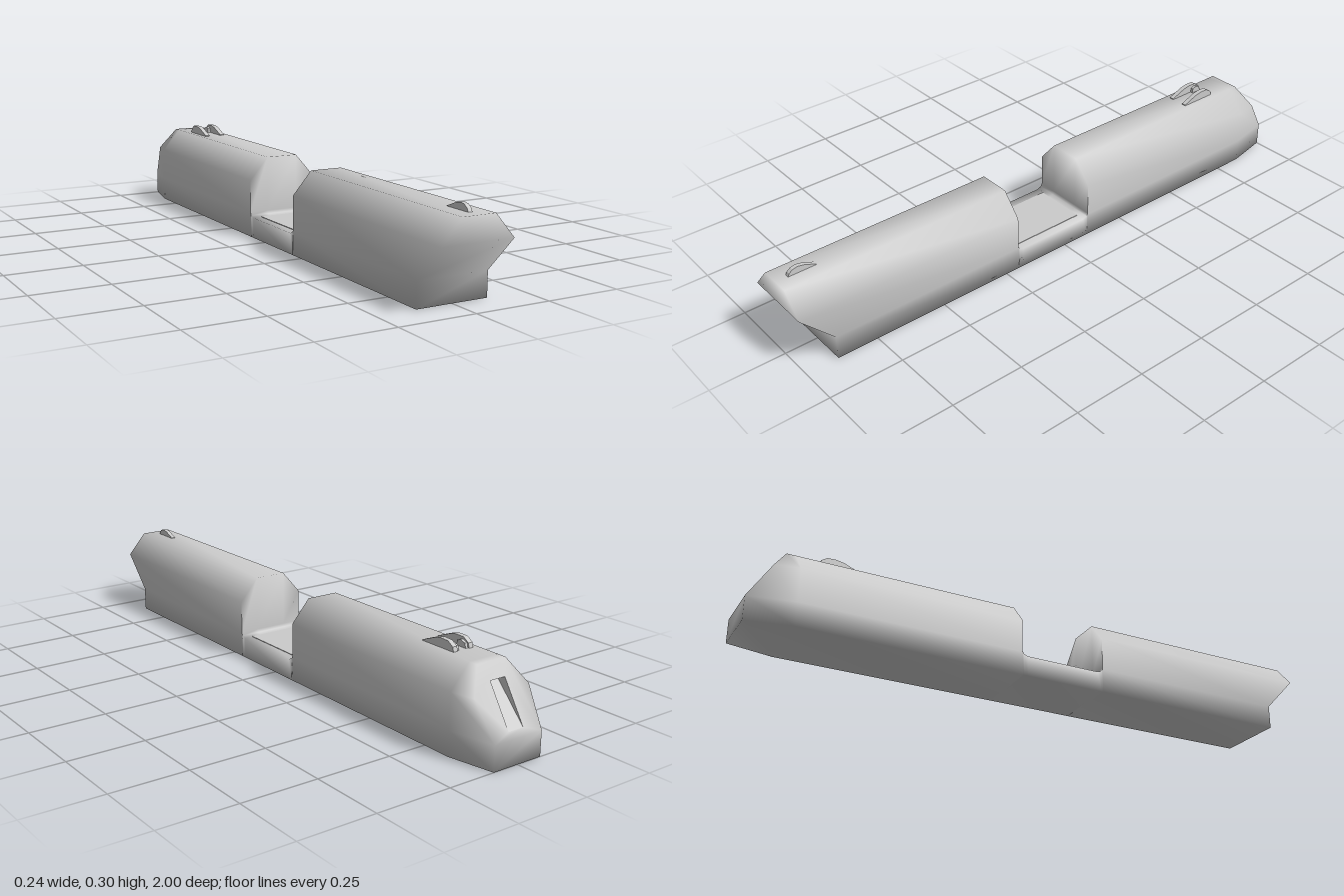
import * as THREE from 'three';
import { mergeGeometries, mergeVertices } from 'three/addons/utils/BufferGeometryUtils.js';

const LOW = 0.08, SHOULDER = 0.195, TOP = 0.27, HALF = 0.12, RIDGE = 0.055;
const slopeZ = (y) => -1 + ((y - LOW) / (TOP - LOW)) * 0.12;

const grey = (options = {}) => new THREE.MeshStandardMaterial({ color: 0xcccccc, ...options });

function addMesh(parent, name, geometry, material = grey()) {
  const mesh = new THREE.Mesh(geometry, material);
  mesh.name = name;
  parent.add(mesh);
  return mesh;
}

function indexedGeometry(points, index) {
  const geometry = new THREE.BufferGeometry();
  geometry.setAttribute('position', new THREE.Float32BufferAttribute(points.flat(), 3));
  geometry.setIndex(index);
  return geometry;
}

// Chamfered cross-section, right bottom over the top to left bottom
function mirrored(half) {
  return [...half, ...half.slice().reverse().map(([x, y, z]) => [-x, y, z])];
}

// Cross-section at z, cut off above the given height
function section(z, height = TOP) {
  return mirrored([[HALF, 0], [HALF, LOW], [HALF, SHOULDER], [RIDGE, TOP]]
    .map(([x, y]) => [x, Math.min(y, height), z]));
}

function bodyGeometry() {
  const loops = [
    mirrored([[HALF, 0, 0.89], [HALF, LOW, 0.89], [HALF, SHOULDER, 1], [RIDGE, TOP, 1]]),
    section(0.2), section(0.2, 0.085), section(0.195, 0.075), section(0.18, 0.069),
    section(-0.08, 0.069), section(-0.095, 0.075), section(-0.1, 0.085), section(-0.1),
    section(-0.85),
    mirrored([[0.09, 0, -1], [0.09, LOW, -1], [0.105, SHOULDER, slopeZ(SHOULDER)],
      [RIDGE, TOP, slopeZ(TOP)]]),
  ];
  const index = [];
  const quad = (a, b, c, d) => index.push(a, b, d, b, c, d);

  // Skin between neighbouring sections
  for (let i = 0; i < loops.length - 1; i++) {
    for (let j = 0; j < 8; j++) {
      const k = (j + 1) % 8;
      quad(i * 8 + j, (i + 1) * 8 + j, (i + 1) * 8 + k, i * 8 + k);
    }
  }
  // Front end and the upright lower part of the rear end
  for (let j = 0; j < 3; j++) quad(j, j + 1, 6 - j, 7 - j);
  const r = (loops.length - 1) * 8;
  quad(r + 7, r + 6, r + 1, r);
  const skin = indexedGeometry(loops.flat(), index);

  // Sloped rear face with the slot opening
  const outline = mirrored([[0.09, LOW], [0.105, SHOULDER], [RIDGE, TOP]]);
  const shape = new THREE.Shape(outline.map(([x, y]) => new THREE.Vector2(x, y)));
  shape.holes.push(new THREE.Path([[-0.028, 0.1], [-0.028, 0.225], [0.028, 0.225], [0.028, 0.1]]
    .map(([x, y]) => new THREE.Vector2(x, y))));
  const slope = new THREE.ShapeGeometry(shape);
  slope.deleteAttribute('uv');
  slope.deleteAttribute('normal');
  const p = slope.attributes.position;
  for (let i = 0; i < p.count; i++) p.setXYZ(i, -p.getX(i), p.getY(i), slopeZ(p.getY(i)));

  const body = mergeVertices(mergeGeometries([skin, slope]), 1e-4);
  body.computeVertexNormals();
  return body;
}

// Wedge recess that deepens towards its top
function slotGeometry() {
  const side = (x) => [[x, 0.1, slopeZ(0.1)], [x, 0.225, slopeZ(0.225)], [x, 0.215, -0.88]];
  const geometry = indexedGeometry([...side(0.028), ...side(-0.028)],
    [0, 1, 2, 3, 5, 4, 0, 2, 5, 0, 5, 3, 1, 4, 5, 1, 5, 2]).toNonIndexed();
  geometry.computeVertexNormals();
  return geometry;
}

// Side profile in (z, y) given a width along x
function blade(profile, width, x) {
  const shape = new THREE.Shape(profile.map(([z, y]) => new THREE.Vector2(z, y)));
  return new THREE.ExtrudeGeometry(shape, { depth: width, bevelEnabled: false })
    .translate(0, 0, -width / 2).rotateY(-Math.PI / 2).translate(x, 0, 0);
}

export function createModel() {
  const model = new THREE.Group();
  model.name = 'slide';

  addMesh(model, 'body', bodyGeometry());
  addMesh(model, 'rearSlot', slotGeometry(), grey({ side: THREE.DoubleSide }));

  // Flat floor of the open gap
  addMesh(model, 'gapFloor', new THREE.BoxGeometry(0.18, 0.01, 0.26).translate(0, 0.066, 0.05));

  // Front sight
  addMesh(model, 'frontSight', blade([[0.865, 0.265], [0.962, 0.265], [0.955, 0.28],
    [0.943, 0.289], [0.925, 0.292], [0.905, 0.288], [0.865, 0.272]], 0.014, 0));

  // Pair of rear sights, each with a small inner step
  for (const s of [-1, 1]) {
    const sight = new THREE.Group();
    sight.name = s > 0 ? 'rearSightLeft' : 'rearSightRight';
    addMesh(sight, 'sightBlade', blade([[-0.77, 0.265], [-0.637, 0.265], [-0.637, 0.273],
      [-0.69, 0.294], [-0.715, 0.299], [-0.745, 0.298], [-0.765, 0.285]], 0.016, s * 0.03));
    addMesh(sight, 'sightStep', blade([[-0.765, 0.265], [-0.725, 0.265], [-0.728, 0.286],
      [-0.742, 0.291], [-0.76, 0.285]], 0.01, s * 0.018));
    model.add(sight);
  }
  return model;
}
